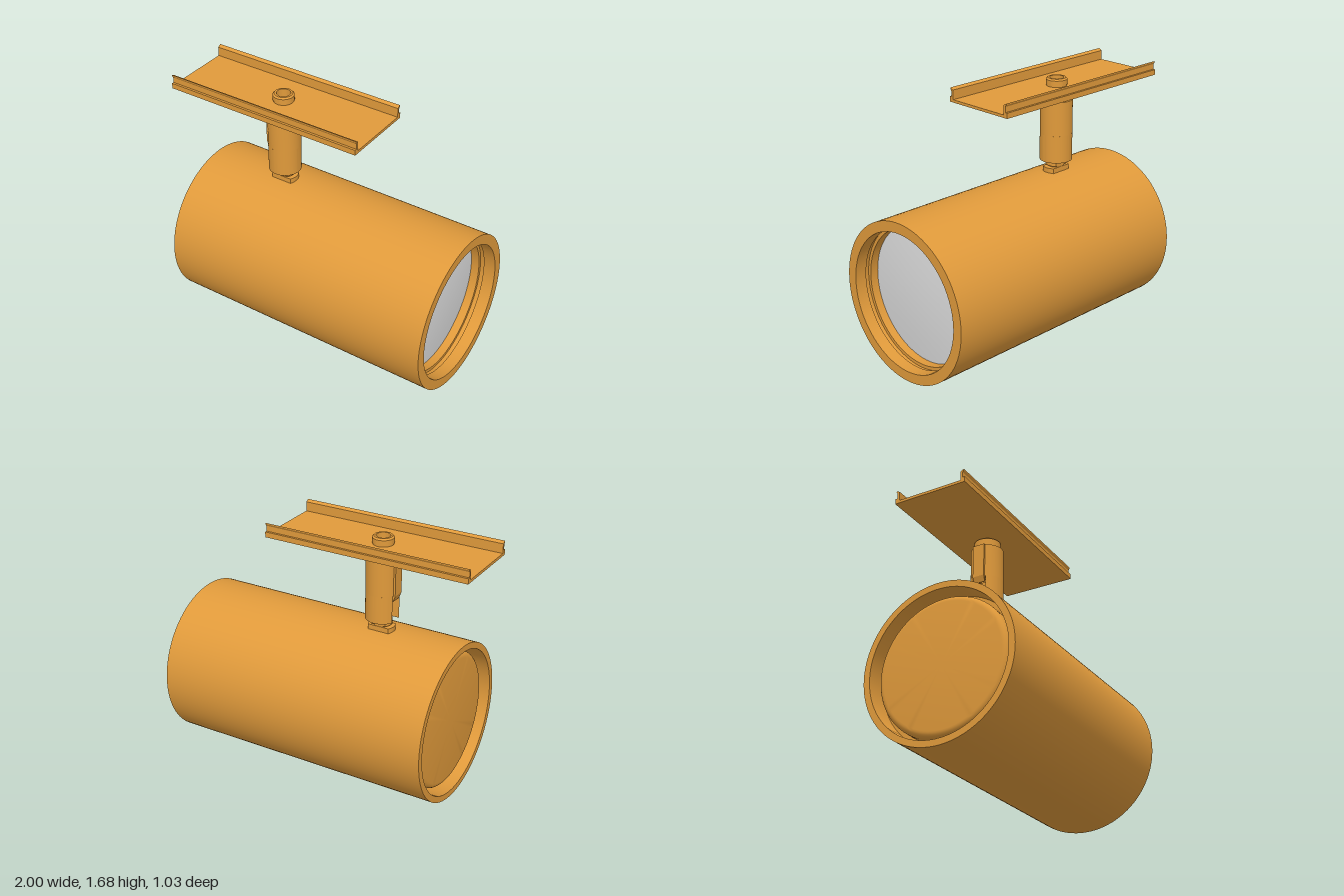
import * as THREE from 'three';
import { toCreasedNormals } from 'three/addons/utils/BufferGeometryUtils.js';

const POST_X = -0.32;

export function createModel() {
  const model = new THREE.Group();
  const bronze = new THREE.MeshStandardMaterial({ color: 0xe09a3b });
  bronze.name = 'amber paint';
  const glass = new THREE.MeshStandardMaterial({ color: 0xdcdcdc });
  glass.name = 'pale grey lens';

  const add = (name, geometry, material = bronze, parent = model) => {
    const mesh = new THREE.Mesh(geometry, material);
    mesh.name = name;
    parent.add(mesh);
    return mesh;
  };
  // Profile of [radius, height] pairs, counterclockwise, with sharp edges kept
  const lathe = (profile, sides) => toCreasedNormals(
    new THREE.LatheGeometry(profile.map(([r, h]) => new THREE.Vector2(r, h)), sides), 0.5);
  // Plan shape (x, -z) raised from y = bottom
  const raise = (shape, bottom, height, curveSegments = 32) => {
    const g = new THREE.ExtrudeGeometry(shape, { depth: height, bevelEnabled: false, curveSegments });
    g.rotateX(-Math.PI / 2).translate(0, bottom, 0);
    return toCreasedNormals(g, 0.5);
  };

  // Lamp head, turned about the x axis
  const head = new THREE.Group();
  head.name = 'lampHead';
  head.position.y = 0.517;
  head.rotation.z = -Math.PI / 2;
  model.add(head);

  // Rounded rear plug, set in the open rear rim
  const plug = [[0, -0.82]];
  for (let i = 0; i <= 6; i++) {
    const a = (i / 6) * Math.PI / 2;
    plug.push([0.405 + 0.04 * Math.sin(a), -0.78 - 0.04 * Math.cos(a)]);
  }
  plug.push([0.445, -0.72], [0.475, -0.72]);
  add('rearPlug', lathe(plug, 96), bronze, head);

  // Outer shell with rear rim and stepped front opening
  add('housing', lathe([
    [0.475, -0.72], [0.475, -0.865], [0.517, -0.865], [0.517, 1],
    [0.45, 1], [0.45, 0.92], [0.462, 0.92], [0.462, 0.89],
    [0.44, 0.89], [0.44, 0.83],
  ], 96), bronze, head);
  add('lens', lathe([[0.44, 0.835], [0.3, 0.85], [0.15, 0.859], [0, 0.862]], 96), glass, head);

  // Post assembly
  const post = new THREE.Group();
  post.name = 'post';
  post.position.x = POST_X;
  model.add(post);

  // Hollow upper post with shoulder, neck and threaded end above the rail
  add('upperPost', lathe([
    [0.045, 1.29], [0.105, 1.29], [0.105, 1.515], [0.085, 1.515], [0.085, 1.572],
    [0.065, 1.572], [0.065, 1.61], [0.068, 1.61], [0.068, 1.645],
    [0.058, 1.655], [0.045, 1.655], [0.045, 1.29],
  ], 48), bronze, post);

  // Lower post, slotted on its rear side for the tilt tab
  const slot = 0.045;
  const start = Math.PI - Math.asin(slot / 0.105);
  const slotted = new THREE.Shape();
  slotted.absarc(0, 0, 0.105, -start, start, false);
  slotted.lineTo(-0.02, slot);
  slotted.lineTo(-0.02, -slot);
  slotted.closePath();
  add('lowerPost', raise(slotted, 1.11, 0.18), bronze, post);

  // Raised strip on the rear side of the post
  const strip = new THREE.Shape([[-0.09, 1.25], [-0.09, 1.515], [-0.43, 1.515], [-0.43, 1.29], [-0.415, 1.25]]
    .map(([x, y]) => new THREE.Vector2(x < -0.2 ? x - POST_X : x, y)));
  const stripGeometry = new THREE.ExtrudeGeometry(strip, { depth: 0.08, bevelEnabled: false });
  stripGeometry.translate(0, 0, -0.04);
  add('postStrip', stripGeometry, bronze, post);

  // Bottom of the bore, half open to the pale part inside
  for (const [name, from, material] of [['boreStop', Math.PI / 2, bronze], ['boreInsert', -Math.PI / 2, glass]]) {
    const half = new THREE.CircleGeometry(0.046, 24, from, Math.PI);
    half.rotateX(-Math.PI / 2).translate(0, 1.3, 0);
    add(name, half, material, post);
  }

  // Flat-sided swivel joint between post and housing
  const flatDisc = (r, halfDepth) => {
    const a = Math.asin(halfDepth / r);
    const s = new THREE.Shape();
    s.absarc(0, 0, r, -a, a, false);
    s.absarc(0, 0, r, Math.PI - a, Math.PI + a, false);
    s.closePath();
    return s;
  };
  add('swivelFoot', raise(flatDisc(0.085, 0.047), 1.01, 0.055), bronze, post);
  add('swivelNeck', raise(flatDisc(0.05, 0.044), 1.06, 0.06), bronze, post);
  add('swivelCollar', raise(flatDisc(0.066, 0.047), 1.075, 0.035), bronze, post);

  // Mounting rail: floor with a hole for the post
  const railStart = -1, railEnd = 0.365;
  const floor = new THREE.Shape();
  floor.moveTo(railStart, -0.25);
  floor.lineTo(railEnd, -0.25);
  floor.lineTo(railEnd, 0.25);
  floor.lineTo(railStart, 0.25);
  floor.closePath();
  const hole = new THREE.Path();
  hole.absarc(POST_X, 0, 0.06, 0, Math.PI * 2, true);
  floor.holes.push(hole);
  add('railFloor', raise(floor, 1.585, 0.018), bronze);

  // Mirrored side walls with a foot ledge and hooked lip
  const wall = [[0.22, 1.603], [0.25, 1.603], [0.25, 1.62], [0.235, 1.62],
    [0.235, 1.655], [0.243, 1.668], [0.243, 1.676], [0.22, 1.664]];
  for (const side of [1, -1]) {
    const section = new THREE.Shape(wall.map(([z, y]) => new THREE.Vector2(-side * z, y)));
    const g = new THREE.ExtrudeGeometry(section, { depth: railEnd - railStart, bevelEnabled: false });
    g.rotateY(Math.PI / 2).translate(railStart, 0, 0);
    add(side > 0 ? 'railWallFront' : 'railWallBack', g);
  }

  return model;
}
